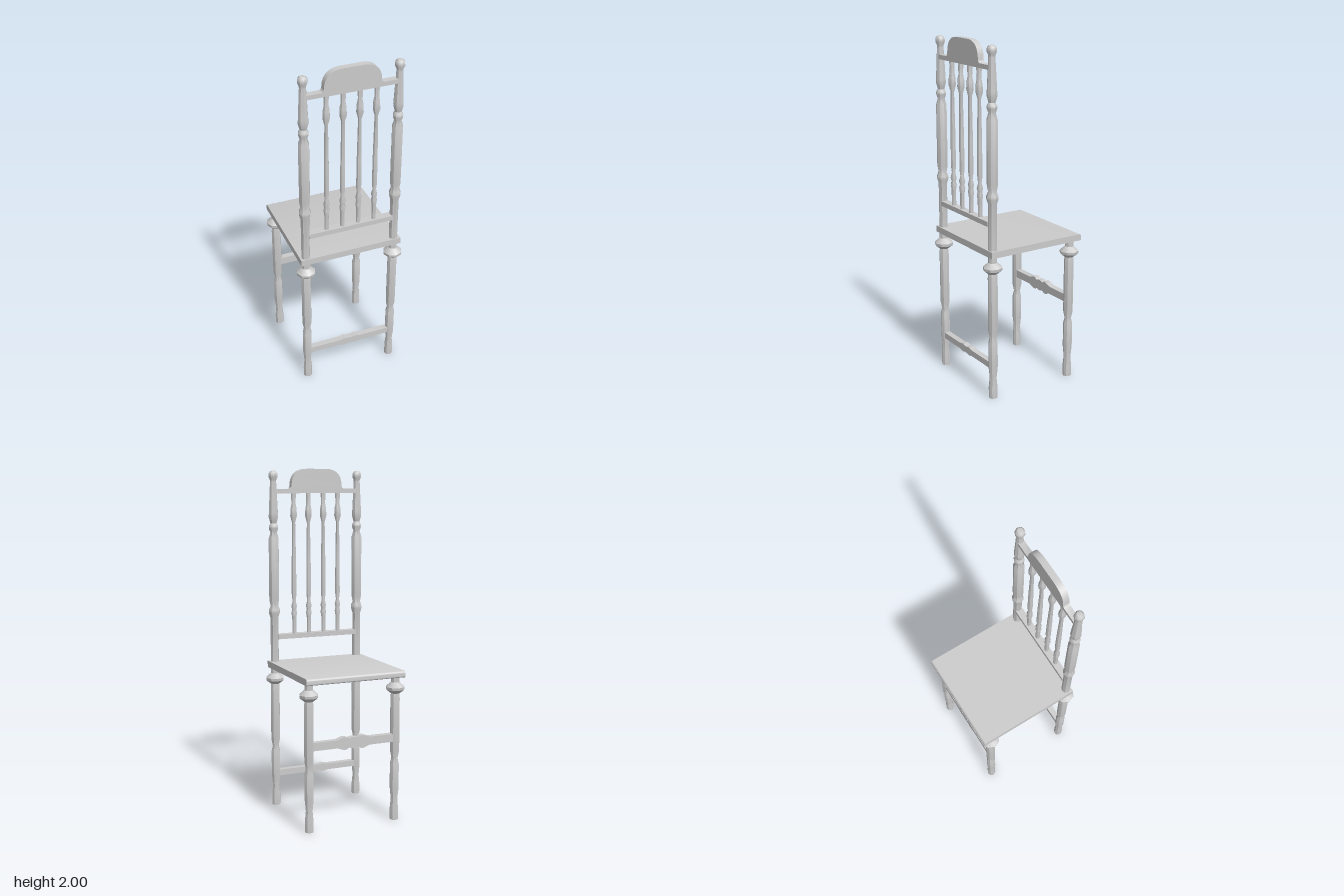
import * as THREE from 'three';
import { toCreasedNormals } from 'three/addons/utils/BufferGeometryUtils.js';

const MAT = new THREE.MeshStandardMaterial({ color: 0xcccccc });
const LEG_X = 0.265, BACK_Z = 0.262, FRONT_Z = -0.26;

// Turned profiles as [radius, height]
const LEG = [
  [0, 0], [0.025, 0], [0.026, 0.06], [0.02, 0.12], [0.027, 0.19], [0.027, 0.33],
  [0.019, 0.365], [0.028, 0.41], [0.028, 0.72], [0.025, 0.745], [0.053, 0.767],
  [0.055, 0.783], [0.03, 0.805], [0.025, 0.81], [0.025, 0.86],
];
const UPPER_POST = [
  [0.025, 1.14], [0.034, 1.17], [0.034, 1.185], [0.024, 1.21], [0.031, 1.25], [0.031, 1.6],
  [0.02, 1.635], [0.029, 1.66], [0.029, 1.672], [0.019, 1.69], [0.029, 1.725], [0.028, 1.75],
  [0.019, 1.925], [0.019, 1.935], [0.028, 1.955], [0.026, 1.975], [0.016, 1.987], [0, 1.99],
];
const SPINDLE = [
  [0.013, 1.03], [0.013, 1.13], [0.018, 1.16], [0.013, 1.18], [0.018, 1.2], [0.01, 1.23],
  [0.015, 1.27], [0.014, 1.45], [0.01, 1.69], [0.021, 1.73], [0.019, 1.77], [0.013, 1.8], [0.016, 1.87],
];

function add(group, name, geometry, x = 0, y = 0, z = 0) {
  const mesh = new THREE.Mesh(toCreasedNormals(geometry, 0.7), MAT);
  mesh.name = name;
  mesh.position.set(x, y, z);
  group.add(mesh);
}

// Eight-sided turning
function turned(profile) {
  return new THREE.LatheGeometry(profile.map(([r, y]) => new THREE.Vector2(r, y)), 8, Math.PI / 2);
}

// Flat board cut from a shape, centred in its thickness
function board(shape, depth) {
  return new THREE.ExtrudeGeometry(shape, { depth, bevelEnabled: false, curveSegments: 8 })
    .translate(0, 0, -depth / 2);
}

// Stretcher outline mirrored in both axes from [x, half height] points, centre outwards
function stretcher(points) {
  const top = [...points.slice(1).reverse().map(([x, h]) => [-x, h]), ...points];
  const outline = [...top, ...top.map(([x, h]) => [x, -h]).reverse()];
  return board(new THREE.Shape(outline.map(([x, y]) => new THREE.Vector2(x, y)).reverse()), 0.035);
}

// Arched crest with a narrow rail on each side
function crest() {
  const s = new THREE.Shape();
  s.moveTo(-0.255, 1.86);
  s.lineTo(0.255, 1.86);
  s.lineTo(0.255, 1.885);
  s.lineTo(0.17, 1.885);
  s.quadraticCurveTo(0.158, 1.89, 0.158, 1.91);
  s.bezierCurveTo(0.155, 1.965, 0.125, 1.998, 0.06, 2);
  s.lineTo(-0.06, 2);
  s.bezierCurveTo(-0.125, 1.998, -0.155, 1.965, -0.158, 1.91);
  s.quadraticCurveTo(-0.158, 1.89, -0.17, 1.885);
  s.lineTo(-0.255, 1.885);
  s.closePath();
  return board(s, 0.036);
}

// Seat side section (z across, y up) with a rounded front edge, extruded over the width
function seat() {
  const s = new THREE.Shape();
  s.moveTo(0.29, 0.843);
  s.lineTo(0.29, 0.88);
  s.lineTo(-0.302, 0.88);
  s.quadraticCurveTo(-0.318, 0.88, -0.318, 0.865);
  s.lineTo(-0.318, 0.85);
  s.quadraticCurveTo(-0.318, 0.843, -0.31, 0.843);
  s.closePath();
  return board(s, 0.6).rotateY(-Math.PI / 2);
}

export function createModel() {
  const chair = new THREE.Group();
  chair.name = 'chair';

  // Legs and back posts
  for (const side of [1, -1]) {
    const label = side > 0 ? 'left' : 'right';
    add(chair, `${label}ShortLeg`, turned(LEG), side * LEG_X, 0, FRONT_Z);
    add(chair, `${label}BackPost`, turned([...LEG, ...UPPER_POST]), side * LEG_X, 0, BACK_Z);
  }

  add(chair, 'seat', seat());

  // Back rest
  add(chair, 'crestRail', crest(), 0, 0, BACK_Z);
  add(chair, 'lowerBackRail', new THREE.BoxGeometry(0.5, 0.028, 0.044), 0, 1.026, BACK_Z);
  for (const x of [-0.14, -0.047, 0.047, 0.14]) {
    add(chair, 'spindle', turned(SPINDLE), x, 0, BACK_Z);
  }

  // Shaped stretchers between the legs
  add(chair, 'upperStretcher', stretcher([
    [0, 0.033], [0.015, 0.031], [0.03, 0.026], [0.042, 0.035], [0.06, 0.037], [0.078, 0.031], [0.1, 0.023], [0.255, 0.023],
  ]), 0, 0.489, FRONT_Z);
  add(chair, 'lowerStretcher', stretcher([
    [0, 0.02], [0.015, 0.02], [0.028, 0.025], [0.042, 0.023], [0.065, 0.018], [0.255, 0.018],
  ]), 0, 0.198, BACK_Z);

  return chair;
}
